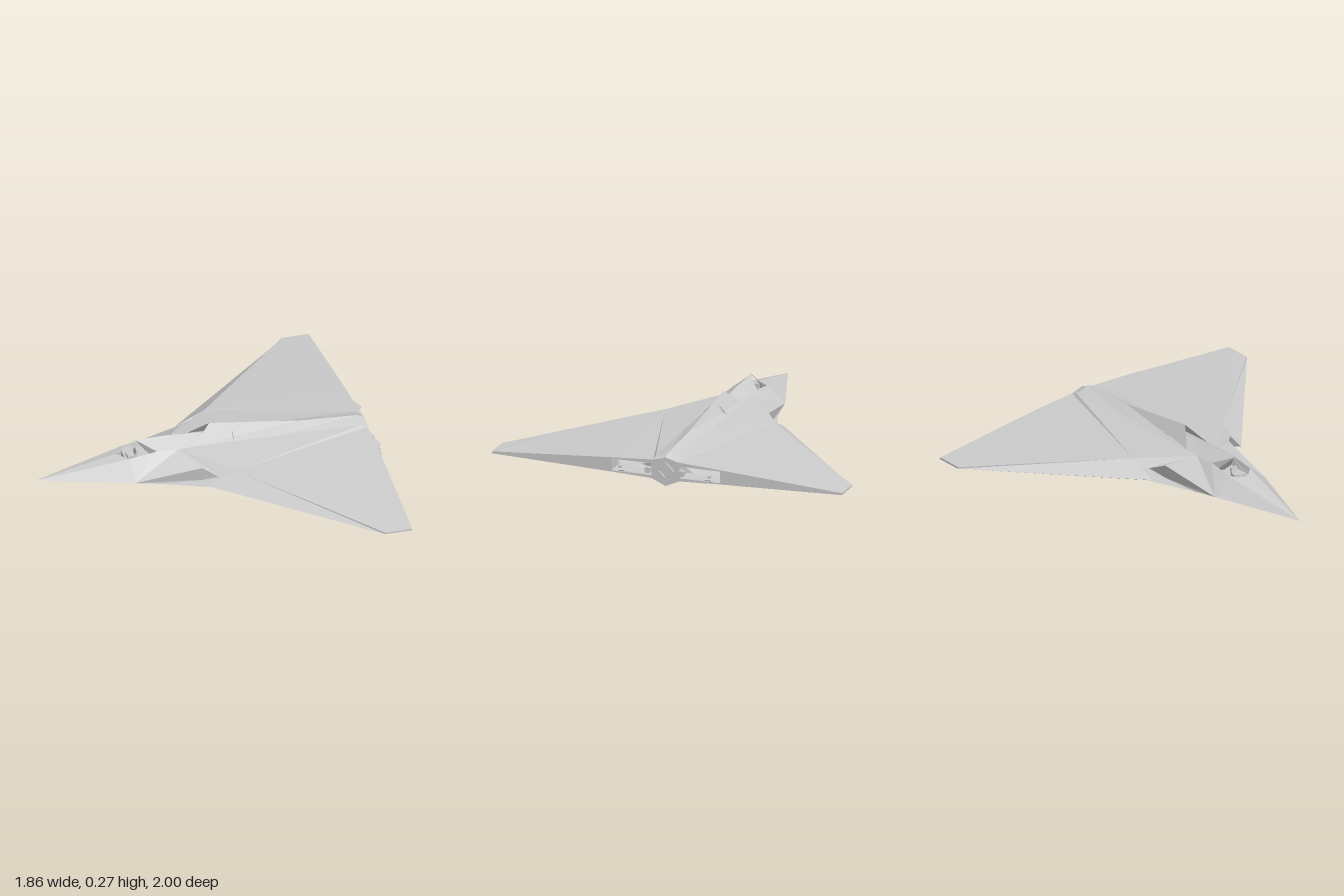
import * as THREE from 'three';

const material = new THREE.MeshStandardMaterial({ color: 0xcccccc, flatShading: true, side: THREE.DoubleSide });

// Key points of the +z half; the nose points to -x.
const nose = [-0.93, 0.078, 0];
const keelFront = [-0.18, 0, 0], keelRear = [0.89, 0, 0];
const bellyFront = [-0.15, 0.035, 0.08], bellyRear = [0.89, 0.035, 0.08];
const chine = [-0.43, 0.08, 0.175], chineLow = [-0.28, 0.058, 0.19];
// side intake corners and lip
const inUp = [-0.07, 0.14, 0.22], outUp = [0.015, 0.11, 0.3];
const outLow = [0, 0.052, 0.3], inLow = [-0.07, 0.055, 0.205], lip = [-0.07, 0.08, 0.305];
// cockpit opening
const sillFront = [-0.49, 0.168, 0], sillMid = [-0.43, 0.168, 0.07], sillRear = [-0.28, 0.19, 0.07];
const roofFront = [-0.38, 0.238, 0], roofMid = [-0.2, 0.236, 0], roofRear = [-0.03, 0.225, 0];
// wing upper crease and spine
const creaseRoot = [-0.16, 0.185, 0.075], creaseMid = [0.09, 0.15, 0.31], creaseTip = [0.72, 0.072, 1];
const scoopSide = [-0.07, 0.185, 0.07], scoopTop = [0.03, 0.272, 0];
const spineMid = [0.53, 0.2, 0], spineRear = [0.85, 0.178, 0], spineEnd = [0.89, 0.16, 0];
const rootMid = [0.4, 0.172, 0.07], rootRear = [0.85, 0.155, 0.07], rootEnd = [0.89, 0.14, 0.07];
const wingRearTop = [0.89, 0.125, 0.31], wingRearLow = [0.89, 0.045, 0.31];
const tipFront = [0.72, 0.063, 1], tipRearTop = [0.87, 0.071, 1], tipRearLow = [0.87, 0.06, 1];

const UP = [0, 1, 0.2], DOWN = [0, -1, 0.05], OUT = [0, 0.1, 1], IN = [0, 0.1, -1];
const BACK = [1, 0, 0], FRONT = [-1, 0, 0];

export function createModel() {
  const model = new THREE.Group();

  // Faceted part: each panel is [facing, ...corners], fanned and mirrored in z.
  function part(name, panels) {
    const pos = [];
    const v = (p) => new THREE.Vector3(...p);
    for (const [facing, ...c] of panels) {
      for (let i = 1; i < c.length - 1; i++) {
        const [a, b, d] = [v(c[0]), v(c[i]), v(c[i + 1])];
        const n = b.clone().sub(a).cross(d.clone().sub(a));
        const tri = n.dot(v(facing)) < 0 ? [a, d, b] : [a, b, d];
        for (const q of tri) pos.push(q.x, q.y, q.z);
        for (const q of [tri[0], tri[2], tri[1]]) pos.push(q.x, q.y, -q.z);
      }
    }
    const g = new THREE.BufferGeometry();
    g.setAttribute('position', new THREE.Float32BufferAttribute(pos, 3));
    g.computeVertexNormals();
    add(name, g);
  }
  function add(name, geometry, x = 0, y = 0, z = 0) {
    const m = new THREE.Mesh(geometry, material);
    m.name = name;
    m.position.set(x, y, z);
    model.add(m);
    return m;
  }

  part('noseAndForebody', [
    [UP, nose, chine, sillMid, sillFront],
    [UP, chine, inUp, creaseRoot, sillRear, sillMid],
    [UP, creaseRoot, roofRear, roofMid, roofFront, sillRear],
    [UP, creaseRoot, scoopSide, roofRear],
  ]);

  part('belly', [
    [DOWN, nose, keelFront, bellyFront],
    [DOWN, nose, bellyFront, chine],
    [DOWN, chine, bellyFront, chineLow],
    [DOWN, chineLow, bellyFront, outLow],
    [DOWN, keelFront, keelRear, bellyRear, bellyFront],
    [DOWN, bellyFront, bellyRear, wingRearLow, outLow],
  ]);

  part('wings', [
    [UP, creaseMid, creaseRoot, scoopSide, rootMid, rootRear, rootEnd, wingRearTop],
    [UP, creaseMid, wingRearTop, tipRearTop, creaseTip],
    [UP, creaseRoot, creaseMid, outUp, inUp],
    [UP, creaseMid, creaseTip, tipFront, lip, outUp],
    [DOWN, lip, tipFront, outLow],
    [DOWN, outLow, wingRearLow, tipRearLow, tipFront],
    [OUT, tipFront, creaseTip, tipRearTop, tipRearLow],
    [BACK, wingRearTop, tipRearTop, tipRearLow, wingRearLow],
    [FRONT, lip, outUp, outLow],
  ]);

  part('spine', [
    [OUT, scoopSide, scoopTop, spineMid, rootMid],
    [UP, rootMid, spineMid, spineRear, rootRear],
    [UP, rootRear, spineRear, spineEnd, rootEnd],
  ]);

  part('dorsalScoopInterior', [
    [UP, roofRear, scoopSide, [0.15, 0.18, 0.07], [0.15, 0.18, 0]],
    [FRONT, [0.15, 0.25, 0], [0.15, 0.182, 0.068], [0.15, 0.18, 0]],
  ]);

  // Intake ramp, then a duct running straight through to the nozzle
  const rect = (x, z0, z1, y0, y1) => [[x, y1, z0], [x, y1, z1], [x, y0, z1], [x, y0, z0]];
  const sections = [
    [inUp, outUp, outLow, inLow],
    rect(0.4, 0.22, 0.265, 0.068, 0.1),
    rect(0.75, 0.21, 0.275, 0.066, 0.104),
    rect(0.8, 0.085, 0.31, 0.054, 0.118),
    rect(0.89, 0.08, 0.31, 0.052, 0.118),
  ];
  const inward = [DOWN, IN, UP, OUT];
  const duct = [[OUT, chine, inUp, inLow, chineLow], [UP, chineLow, inLow, outLow]];
  for (let s = 0; s < sections.length - 1; s++) {
    const [a, b] = [sections[s], sections[s + 1]];
    for (let i = 0; i < 4; i++) {
      const j = (i + 1) % 4;
      duct.push([s === 2 ? BACK : inward[i], a[i], a[j], b[j], b[i]]);
    }
  }
  part('intakesAndDucts', duct);

  part('tailFace', [
    [BACK, keelRear, bellyRear, [0.89, 0.052, 0.08], [0.89, 0.118, 0.08], rootEnd, spineEnd],
    [BACK, rootEnd, wingRearTop, [0.89, 0.118, 0.31], [0.89, 0.118, 0.08]],
    [BACK, bellyRear, wingRearLow, [0.89, 0.052, 0.31], [0.89, 0.052, 0.08]],
  ]);

  // Pointed nozzle flaps, above and below each exhaust
  const flap = (y, tipY) => [[0.885, y, 0.11], [0.93, tipY, 0.185], [0.905, tipY, 0.25], [0.885, y, 0.275]];
  part('nozzleFlaps', [
    [UP, ...flap(0.116, 0.102)],
    [DOWN, ...flap(0.054, 0.066)],
  ]);
  for (const s of [-1, 1]) {
    add('nozzleActuator', new THREE.BoxGeometry(0.03, 0.03, 0.028), 0.9, 0.085, s * 0.096);
    add('nozzleVane', new THREE.BoxGeometry(0.025, 0.012, 0.014), 0.9, 0.085, s * 0.255);
  }

  // Diamond tail outlet
  const diamond = (C, r) => {
    const c = new C();
    c.moveTo(r, 0).lineTo(0, r).lineTo(-r, 0).lineTo(0, -r).closePath();
    return c;
  };
  const ring = diamond(THREE.Shape, 0.052);
  ring.holes.push(diamond(THREE.Path, 0.036));
  const outlet = new THREE.ExtrudeGeometry(ring, { depth: 0.02, bevelEnabled: false });
  outlet.rotateY(Math.PI / 2);
  add('tailOutlet', outlet, 0.88, 0.085, 0);

  // Open cockpit tub with seat and slim canopy frame
  const low = (p, k) => [p[0], 0.135, p[2] * k];
  part('cockpitTub', [
    [IN, sillFront, sillMid, low(sillMid, 0.85), low(sillFront, 1)],
    [IN, sillMid, sillRear, low(sillRear, 0.85), low(sillMid, 0.85)],
    [FRONT, roofFront, sillRear, low(sillRear, 0.85), [-0.3, 0.135, 0]],
    [UP, low(sillFront, 1), low(sillMid, 0.85), low(sillRear, 0.85), [-0.28, 0.135, 0]],
  ]);
  add('seatBase', new THREE.BoxGeometry(0.05, 0.015, 0.045), -0.4, 0.145, 0);
  add('seatBack', new THREE.BoxGeometry(0.012, 0.045, 0.04), -0.378, 0.16, 0).rotation.z = -0.2;
  add('instrumentPanel', new THREE.BoxGeometry(0.012, 0.03, 0.05), -0.445, 0.152, 0);
  const bar = new THREE.LineCurve3(new THREE.Vector3(...sillFront), new THREE.Vector3(...roofFront));
  add('canopyFrame', new THREE.TubeGeometry(bar, 1, 0.0015, 4));

  return model;
}
